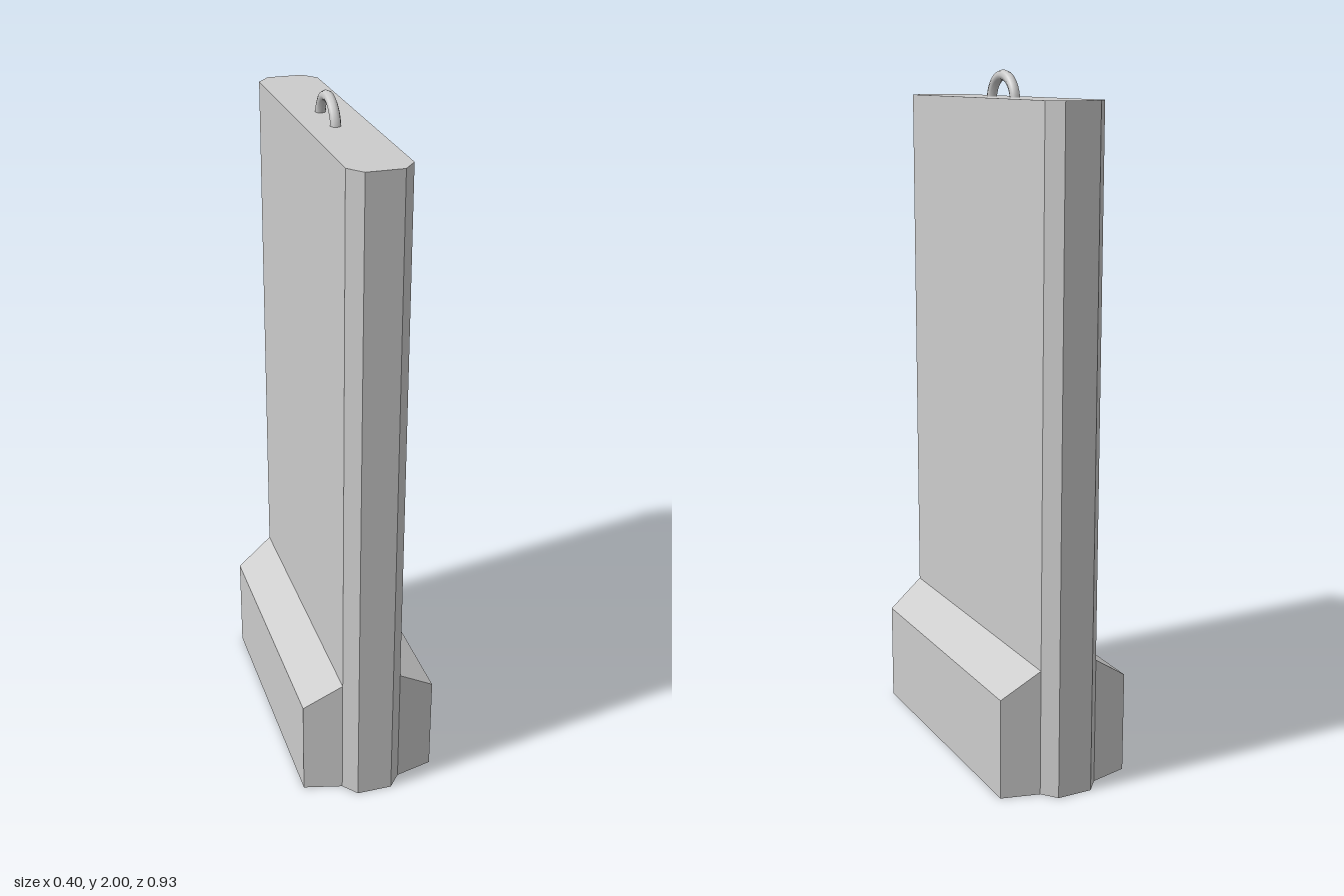
import * as THREE from 'three';

const flat = new THREE.MeshStandardMaterial({ color: 0xcccccc, flatShading: true });
const smooth = new THREE.MeshStandardMaterial({ color: 0xcccccc });

const SLAB_X = 0.088, SLAB_Z = 0.423, SLAB_TOP = 1.925;

// Upright slab with chamfered vertical corners
function makeSlab() {
  const endX = 0.052, endZ = 0.466;
  const outline = new THREE.Shape([
    [endX, -endZ], [SLAB_X, -SLAB_Z], [SLAB_X, SLAB_Z], [endX, endZ],
    [-endX, endZ], [-SLAB_X, SLAB_Z], [-SLAB_X, -SLAB_Z], [-endX, -endZ],
  ].map(([x, z]) => new THREE.Vector2(x, z)));
  const geometry = new THREE.ExtrudeGeometry(outline, { depth: SLAB_TOP, bevelEnabled: false });
  geometry.rotateX(-Math.PI / 2);
  const mesh = new THREE.Mesh(geometry, flat);
  mesh.name = 'slab';
  return mesh;
}

// Foot: a box narrowed and lowered on its outer side
function makeFootGeometry() {
  const geometry = new THREE.BoxGeometry(1, 1, 1);
  const p = geometry.attributes.position;
  for (let i = 0; i < p.count; i++) {
    const outer = p.getX(i) > 0;
    const top = p.getY(i) > 0;
    p.setXYZ(
      i,
      outer ? 0.2 : SLAB_X,
      top ? (outer ? 0.298 : 0.375) : 0,
      Math.sign(p.getZ(i)) * (outer ? 0.395 : SLAB_Z),
    );
  }
  geometry.computeVertexNormals();
  return geometry;
}

// Half-ring lifting loop, its ends sunk into the slab top
function makeLoop() {
  const geometry = new THREE.TorusGeometry(0.073, 0.015, 8, 24, Math.PI);
  geometry.rotateY(Math.PI / 2);
  const mesh = new THREE.Mesh(geometry, smooth);
  mesh.name = 'liftingLoop';
  mesh.position.set(-0.006, 1.912, 0);
  return mesh;
}

export function createModel() {
  const model = new THREE.Group();
  model.name = 'barrierPanel';
  model.add(makeSlab(), makeLoop());

  // Matching feet on both broad sides
  const footGeometry = makeFootGeometry();
  ['leftFoot', 'rightFoot'].forEach((name, i) => {
    const foot = new THREE.Mesh(footGeometry, flat);
    foot.name = name;
    foot.rotation.y = i * Math.PI;
    model.add(foot);
  });
  return model;
}
